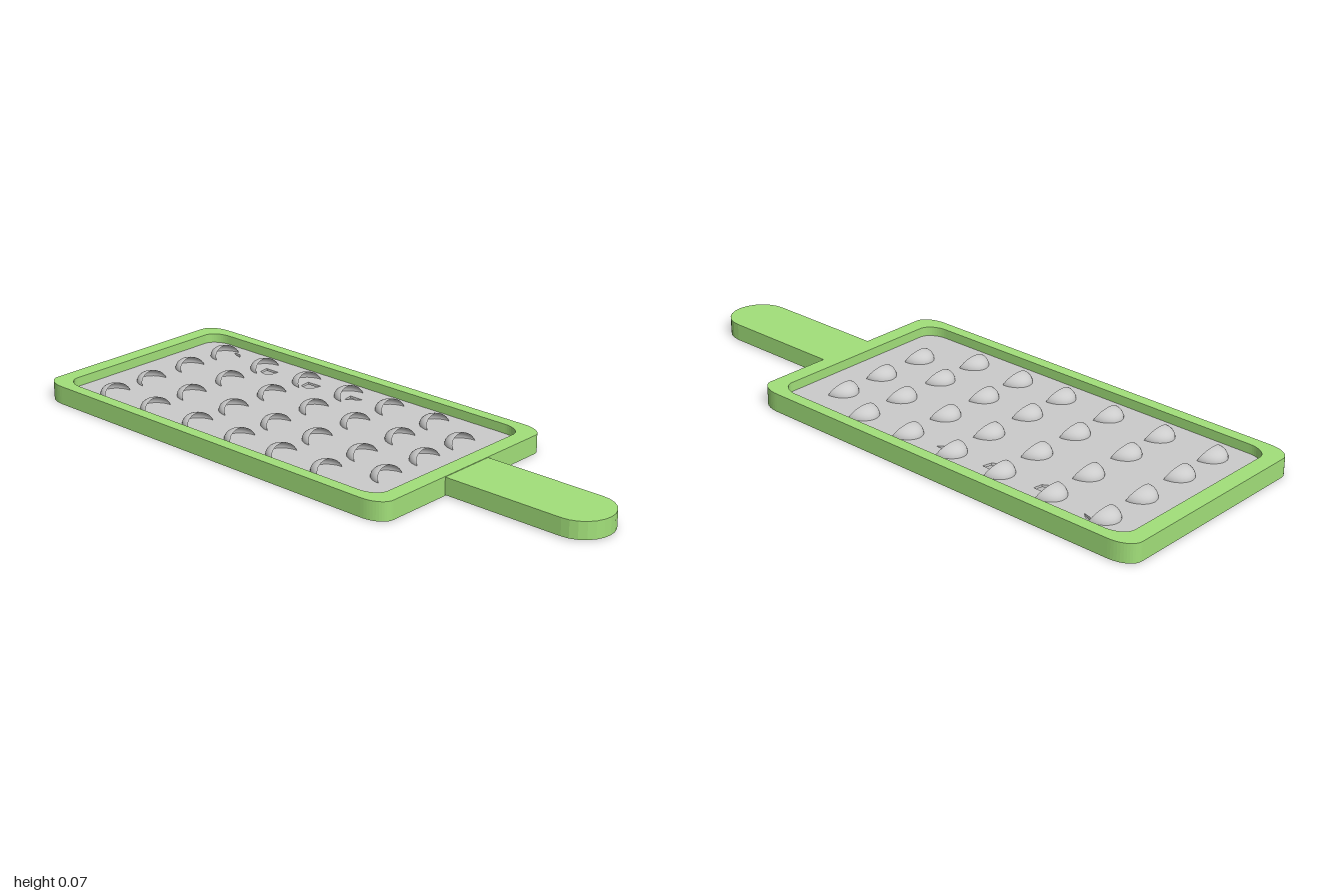
import * as THREE from 'three';

const green = new THREE.MeshStandardMaterial({ color: 0xa2e07a });
const grey = new THREE.MeshStandardMaterial({ color: 0xcccccc, side: THREE.DoubleSide });

// Rectangle with elliptical corners, added to a shape or hole path
function roundedRect(path, x0, x1, hz, rx, rz) {
  path.moveTo(x0 + rx, -hz);
  path.lineTo(x1 - rx, -hz);
  path.absellipse(x1 - rx, -hz + rz, rx, rz, -Math.PI / 2, 0);
  path.absellipse(x1 - rx, hz - rz, rx, rz, 0, Math.PI / 2);
  path.absellipse(x0 + rx, hz - rz, rx, rz, Math.PI / 2, Math.PI);
  path.absellipse(x0 + rx, -hz + rz, rx, rz, Math.PI, Math.PI * 1.5);
  return path;
}

// Flat outline extruded upwards from y0 to y1
function slab(name, shape, y0, y1, material) {
  const geo = new THREE.ExtrudeGeometry(shape, { depth: y1 - y0, bevelEnabled: false, curveSegments: 6 });
  geo.rotateX(-Math.PI / 2);
  geo.translate(0, y0, 0);
  const mesh = new THREE.Mesh(geo, material);
  mesh.name = name;
  return mesh;
}

// Hollow hood, closed towards -x and open towards +x, with a leaning mouth
function scoopGeometry() {
  const geo = new THREE.PlaneGeometry(1, 1, 16, 8);
  const pos = geo.attributes.position;
  for (let i = 0; i < pos.count; i++) {
    const across = (pos.getX(i) + 0.5) * Math.PI;
    const rise = (pos.getY(i) + 0.5) * Math.PI / 2;
    const s = Math.sin(across);
    pos.setXYZ(i,
      -(0.018 + 0.047 * Math.cos(rise)) * s,
      0.034 * Math.sin(rise) * s,
      -0.053 * Math.cos(across));
  }
  geo.computeVertexNormals();
  return geo;
}

export function createModel() {
  const model = new THREE.Group();
  const plateTop = 0.031;

  // Rim around the plate
  const rim = roundedRect(new THREE.Shape(), -1, 0.48, 0.38, 0.08, 0.05);
  rim.holes.push(roundedRect(new THREE.Path(), -0.945, 0.425, 0.34, 0.07, 0.05));
  model.add(slab('frame', rim, 0, 0.062, green));

  // Handle with a round end
  const grip = new THREE.Shape();
  grip.moveTo(0.46, -0.1);
  grip.lineTo(0.9, -0.1);
  grip.absarc(0.9, 0, 0.1, -Math.PI / 2, Math.PI / 2);
  grip.lineTo(0.46, 0.1);
  model.add(slab('handle', grip, 0.003, 0.06, green));

  // Grating plate with its small openings, corners as [x, z]
  const sheet = roundedRect(new THREE.Shape(), -0.945, 0.425, 0.34, 0.07, 0.05);
  const openings = [
    [[-0.80, -0.292], [-0.77, -0.29], [-0.752, -0.272], [-0.78, -0.28]],
    [[-0.605, -0.255], [-0.55, -0.255], [-0.555, -0.225], [-0.575, -0.213], [-0.60, -0.22]],
    [[-0.41, -0.255], [-0.353, -0.255], [-0.36, -0.225], [-0.38, -0.21], [-0.405, -0.215]],
    [[-0.22, -0.255], [-0.165, -0.255], [-0.212, -0.22]],
  ];
  for (const corners of openings) {
    sheet.holes.push(new THREE.Path(corners.map(([x, z]) => new THREE.Vector2(x, -z))));
  }
  model.add(slab('gratingPlate', sheet, plateTop - 0.008, plateTop, grey));

  // Rows of scoops, with a shorter staggered column by the handle
  const scoops = new THREE.Group();
  scoops.name = 'scoops';
  const geo = scoopGeometry();
  const addColumn = (x, zs) => {
    for (const z of zs) {
      const scoop = new THREE.Mesh(geo, grey);
      scoop.name = 'scoop';
      scoop.position.set(x, plateTop, z);
      scoops.add(scoop);
    }
  };
  for (const x of [-0.79, -0.595, -0.398, -0.208, -0.028, 0.16]) {
    addColumn(x, [-0.25, -0.085, 0.09, 0.25]);
  }
  addColumn(0.322, [-0.18, -0.012, 0.163]);
  model.add(scoops);

  return model;
}
